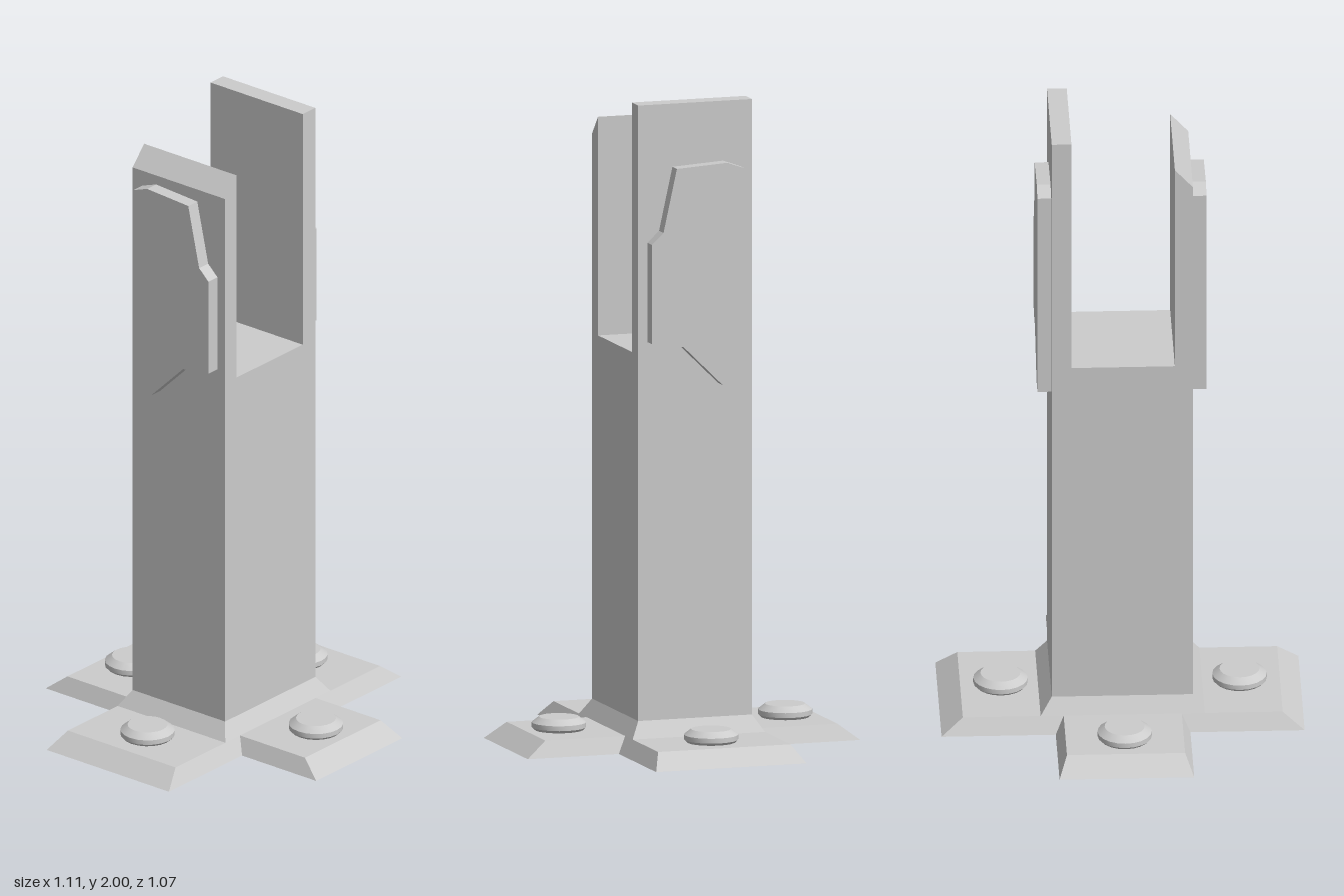
import * as THREE from 'three';
import { toCreasedNormals } from 'three/addons/utils/BufferGeometryUtils.js';

const flat = new THREE.MeshStandardMaterial({ color: 0xcccccc, flatShading: true, side: THREE.DoubleSide });
const smooth = new THREE.MeshStandardMaterial({ color: 0xcccccc, side: THREE.DoubleSide });

function add(parent, name, geometry, material = flat) {
  const mesh = new THREE.Mesh(geometry, material);
  mesh.name = name;
  parent.add(mesh);
  return mesh;
}

function extrude(points, depth) {
  const shape = new THREE.Shape(points.map(([x, y]) => new THREE.Vector2(x, y)));
  return new THREE.ExtrudeGeometry(shape, { depth, bevelEnabled: false });
}

// Geometry from quads of one quadrant, mirrored into all four
function quadrantShell(quads) {
  const out = [];
  for (const sx of [1, -1]) for (const sz of [1, -1]) {
    const order = sx * sz > 0 ? [0, 1, 2, 0, 2, 3] : [0, 2, 1, 0, 3, 2];
    for (const q of quads) for (const i of order) out.push(q[i][0] * sx, q[i][1], q[i][2] * sz);
  }
  const g = new THREE.BufferGeometry();
  g.setAttribute('position', new THREE.Float32BufferAttribute(out, 3));
  g.computeVertexNormals();
  return g;
}

// Cross-shaped foot: four bevelled flanges and a collar, open underneath
function footGeometry() {
  const collarX = [0.215, 0.1, 0], collarZ = [0, 0.1, 0.183], collar = [0.215, 0.1, 0.183];
  const inX = [0.25, 0.05, 0.213], inZ = [0.18, 0.05, 0.213], notch = [0.205, 0, 0.242];
  const topX = [0.487, 0.05, 0.213], rimX = [0.553, 0, 0.242];
  const topZ = [0.18, 0.05, 0.47], rimZ = [0.205, 0, 0.535];
  const midX = p => [p[0], p[1], 0];
  const midZ = p => [0, p[1], p[2]];
  return quadrantShell([
    // side flange: top, end bevel, side bevel
    [midX(inX), inX, topX, midX(topX)],
    [midX(topX), topX, rimX, midX(rimX)],
    [topX, inX, notch, rimX],
    // collar: corner, side, front
    [inX, collar, inZ, notch],
    [collarX, collar, inX, midX(inX)],
    [collarZ, midZ(inZ), inZ, collar],
    // front flange: top, end bevel, side bevel
    [midZ(inZ), midZ(topZ), topZ, inZ],
    [midZ(topZ), midZ(rimZ), rimZ, topZ],
    [inZ, topZ, rimZ, notch],
  ]);
}

// Forked post with one tall and one chamfered arm, its bottom left open
function postGeometry() {
  const solid = extrude([
    [-0.215, 0.1], [0.215, 0.1], [0.215, 2], [0.155, 2],
    [0.155, 1.23], [-0.16, 1.23], [-0.16, 1.905], [-0.215, 1.845],
  ], 0.366).translate(0, 0, -0.183);
  const src = solid.toNonIndexed ? (solid.index ? solid.toNonIndexed() : solid) : solid;
  const p = src.attributes.position.array, out = [];
  for (let i = 0; i < p.length; i += 9) {
    const isBottom = [1, 4, 7].every(k => p[i + k] < 0.101);
    if (!isBottom) out.push(...p.slice(i, i + 9));
  }
  const g = new THREE.BufferGeometry();
  g.setAttribute('position', new THREE.Float32BufferAttribute(out, 3));
  g.computeVertexNormals();
  return g;
}

export function createModel() {
  const model = new THREE.Group();
  model.name = 'forkedPost';

  add(model, 'foot', footGeometry());
  add(model, 'post', postGeometry());

  // Angular plates on the outside of both arms, given as (z, y)
  const outline = [
    [-0.145, 1.795], [-0.09, 1.815], [0.073, 1.805], [0.116, 1.61], [0.153, 1.575],
    [0.153, 1.268], [0.11, 1.255], [0.053, 1.255], [-0.074, 1.13], [-0.145, 1.13],
  ];
  for (const side of [1, -1]) {
    const plate = extrude(outline.map(([z, y]) => [-z, y]), 0.045).rotateY(Math.PI / 2);
    plate.translate(side > 0 ? 0.212 : -0.258, 0, 0);
    add(model, side > 0 ? 'leftPlate' : 'rightPlate', plate);
  }

  // One chamfered bolt head per flange
  const profile = [[0.075, 0.05], [0.083, 0.058], [0.083, 0.073], [0.061, 0.09], [0, 0.09]]
    .map(([r, y]) => new THREE.Vector2(r, y));
  const bolt = toCreasedNormals(new THREE.LatheGeometry(profile, 20), 0.5);
  for (const [x, z] of [[1, 0], [-1, 0], [0, 1], [0, -1]]) {
    add(model, 'bolt', bolt, smooth).position.set(x * 0.364, 0, z * 0.364);
  }
  return model;
}
